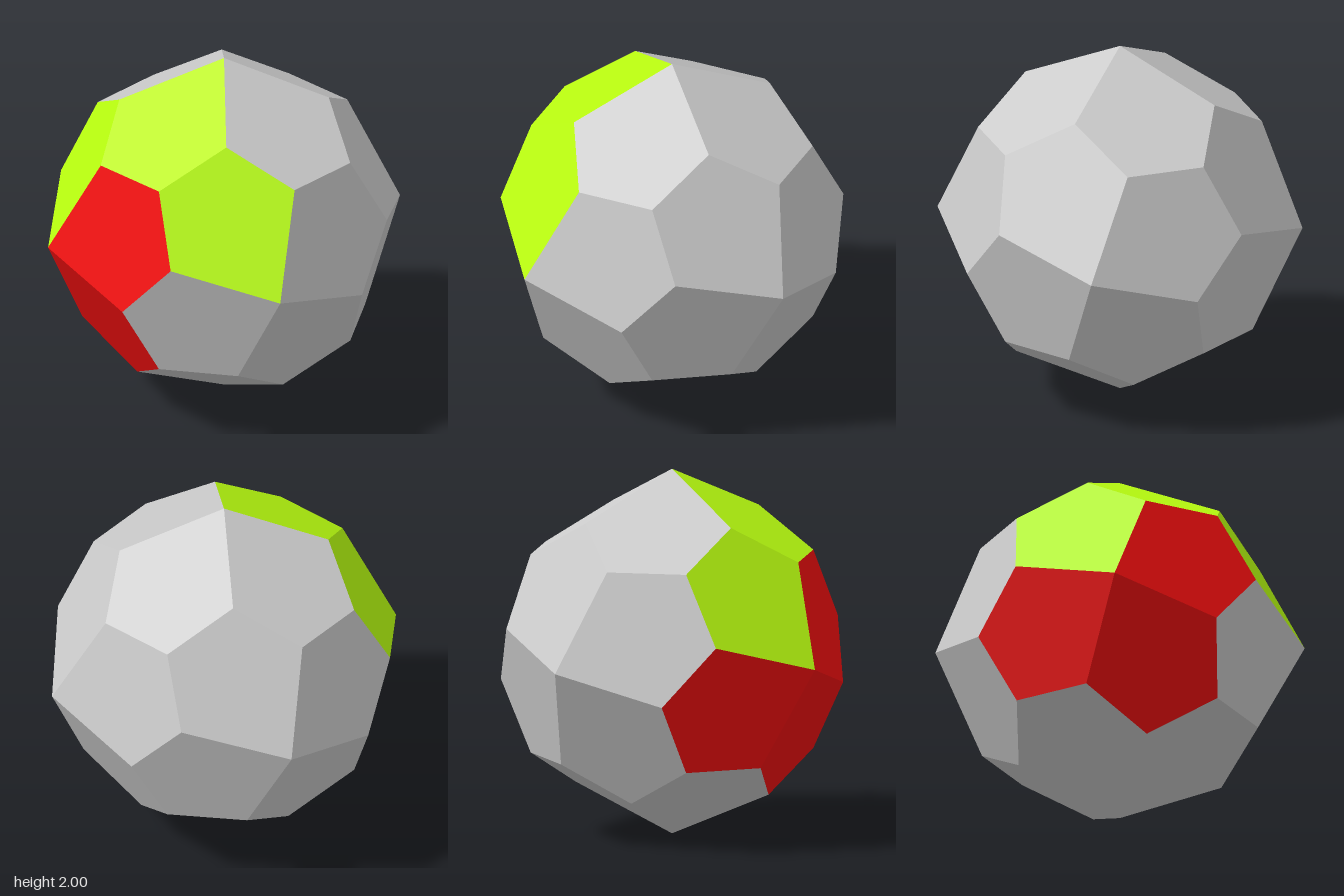
import * as THREE from 'three';

// Pentagonal icositetrahedron: one five-sided facet repeated by the 24 cube rotations.
const T = 1.839287; // tribonacci constant fixes the facet proportions
const C = 1 / T, S = (2 * T + 1) / T ** 3, R = 1 / T ** 3;

// Base facet, counter-clockwise: axis tip, two side points, cube corner, last side point
const FACET = [[0, 0, 1], [R, C, S], [-R, S, C], [-C, C, C], [-C, R, S]]
  .map((p) => new THREE.Vector3(...p));

const COLORS = { greyFacets: 0xcccccc, greenFacets: 0xbaff10, redFacets: 0xf50f0f };

// A coloured patch runs over the -x side and around its upper front corner
function patchName(tip, corner) {
  if (tip.x < -0.5) return corner.y > 0 && corner.z < 0 ? 'greenFacets' : 'redFacets';
  const upperFront = corner.x < 0 && corner.y > 0 && corner.z > 0;
  return upperFront ? 'greenFacets' : 'greyFacets';
}

export function createModel() {
  const group = new THREE.Group();
  group.name = 'facetedBall';
  const patches = { greyFacets: [], greenFacets: [], redFacets: [] };
  const front = new THREE.Vector3(0, 0, 1);
  const H = Math.PI / 2;

  // Turn the front onto each of the six axes, then spin in quarter turns
  const turns = [[0, 0], [0, H], [0, 2 * H], [0, -H], [H, 0], [-H, 0]];
  for (const [rx, ry] of turns) {
    const turn = new THREE.Quaternion().setFromEuler(new THREE.Euler(rx, ry, 0));
    for (let k = 0; k < 4; k++) {
      const spin = new THREE.Quaternion().setFromAxisAngle(front, k * H);
      const q = turn.clone().multiply(spin);
      const pts = FACET.map((p) => p.clone().applyQuaternion(q));
      const out = patches[patchName(pts[0], pts[3])];
      for (let i = 1; i < 4; i++) {
        for (const p of [pts[0], pts[i], pts[i + 1]]) out.push(p.x, p.y + 1, p.z);
      }
    }
  }

  // One flat-shaded mesh per colour
  for (const [name, positions] of Object.entries(patches)) {
    const geometry = new THREE.BufferGeometry();
    geometry.setAttribute('position', new THREE.Float32BufferAttribute(positions, 3));
    geometry.computeVertexNormals();
    const material = new THREE.MeshStandardMaterial({ color: COLORS[name], flatShading: true });
    const mesh = new THREE.Mesh(geometry, material);
    mesh.name = name;
    group.add(mesh);
  }
  return group;
}
